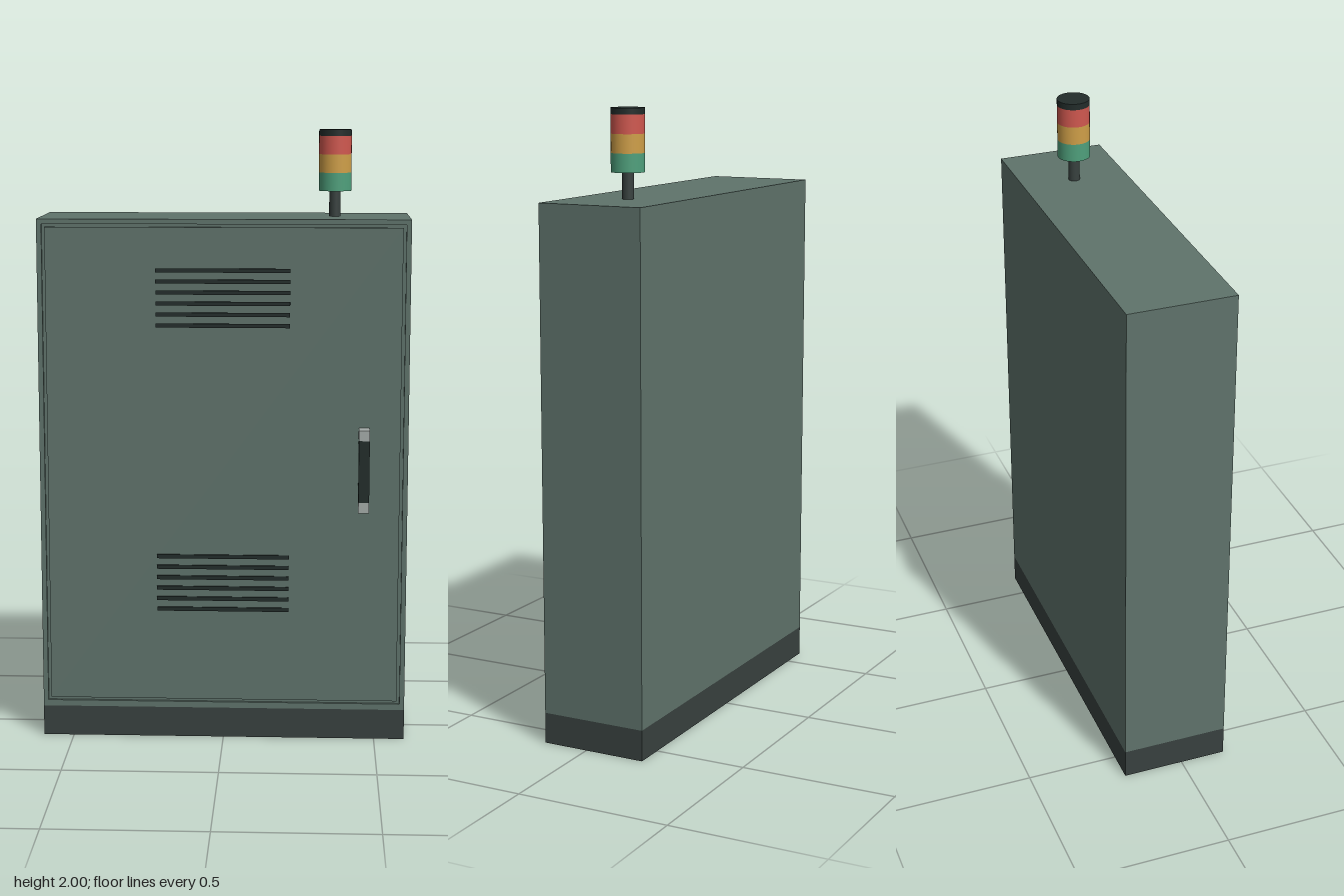
import * as THREE from 'three';

const paint = (color) => new THREE.MeshStandardMaterial({ color });

export function createModel() {
  const model = new THREE.Group();
  const green = paint(0x5f736b), plinthGrey = paint(0x38413f), black = paint(0x222c2a), steel = paint(0xa4aba8);

  // Box given by its minimum and maximum corners
  const box = (name, material, [x0, y0, z0], [x1, y1, z1], parent = model) => {
    const mesh = new THREE.Mesh(new THREE.BoxGeometry(x1 - x0, y1 - y0, z1 - z0), material);
    mesh.position.set((x0 + x1) / 2, (y0 + y1) / 2, (z0 + z1) / 2);
    mesh.name = name;
    parent.add(mesh);
  };

  // Plinth and cabinet shell
  box('plinth', plinthGrey, [-0.6, 0, -0.2], [0.6, 0.1, 0.15]);
  box('cabinetBody', green, [-0.6, 0.1, -0.2], [0.6, 1.72, 0.14]);

  // Front frame around the door opening
  const rect = (target, x, y0, y1) => {
    target.moveTo(-x, y0);
    target.lineTo(x, y0);
    target.lineTo(x, y1);
    target.lineTo(-x, y1);
    target.closePath();
    return target;
  };
  const frameShape = rect(new THREE.Shape(), 0.6, 0.1, 1.72);
  frameShape.holes.push(rect(new THREE.Path(), 0.584, 0.12, 1.704));
  const frame = new THREE.Mesh(
    new THREE.ExtrudeGeometry(frameShape, { depth: 0.01, bevelEnabled: false }), green);
  frame.position.z = 0.14;
  frame.name = 'doorFrame';
  model.add(frame);

  // Door panel, leaving a narrow groove all round
  box('door', green, [-0.574, 0.13, 0.14], [0.574, 1.694, 0.15]);

  // Two banks of six vent slats
  for (const [name, bottom] of [['upperVent', 1.379], ['lowerVent', 0.439]]) {
    const vent = new THREE.Group();
    vent.name = name;
    for (let i = 0; i < 6; i++) {
      const y = bottom + i * 0.0355;
      box('slat', black, [-0.218, y - 0.0065, 0.145], [0.215, y + 0.0065, 0.155], vent);
    }
    model.add(vent);
  }

  // Door handle: two mounts with a grip between them
  const handle = new THREE.Group();
  handle.name = 'handle';
  box('lowerMount', steel, [0.439, 0.777, 0.145], [0.474, 0.811, 0.2], handle);
  box('upperMount', steel, [0.439, 1.014, 0.145], [0.474, 1.048, 0.2], handle);
  box('grip', black, [0.439, 0.811, 0.165], [0.474, 1.014, 0.2], handle);
  model.add(handle);

  // Signal light: pole, coloured lenses and cap
  const signal = new THREE.Group();
  signal.name = 'signalLight';
  signal.position.set(0.357, 0, -0.025);
  for (const [name, material, radius, y0, y1] of [
    ['pole', plinthGrey, 0.0185, 1.72, 1.803],
    ['greenLens', paint(0x4fa07c), 0.053, 1.803, 1.862],
    ['amberLens', paint(0xcf9f48), 0.053, 1.862, 1.921],
    ['redLens', paint(0xd0584f), 0.053, 1.921, 1.98],
    ['cap', black, 0.053, 1.98, 2],
  ]) {
    const part = new THREE.Mesh(new THREE.CylinderGeometry(radius, radius, y1 - y0, 32), material);
    part.position.y = (y0 + y1) / 2;
    part.name = name;
    signal.add(part);
  }
  model.add(signal);

  // Centre the depth, handle included
  return model;
}
